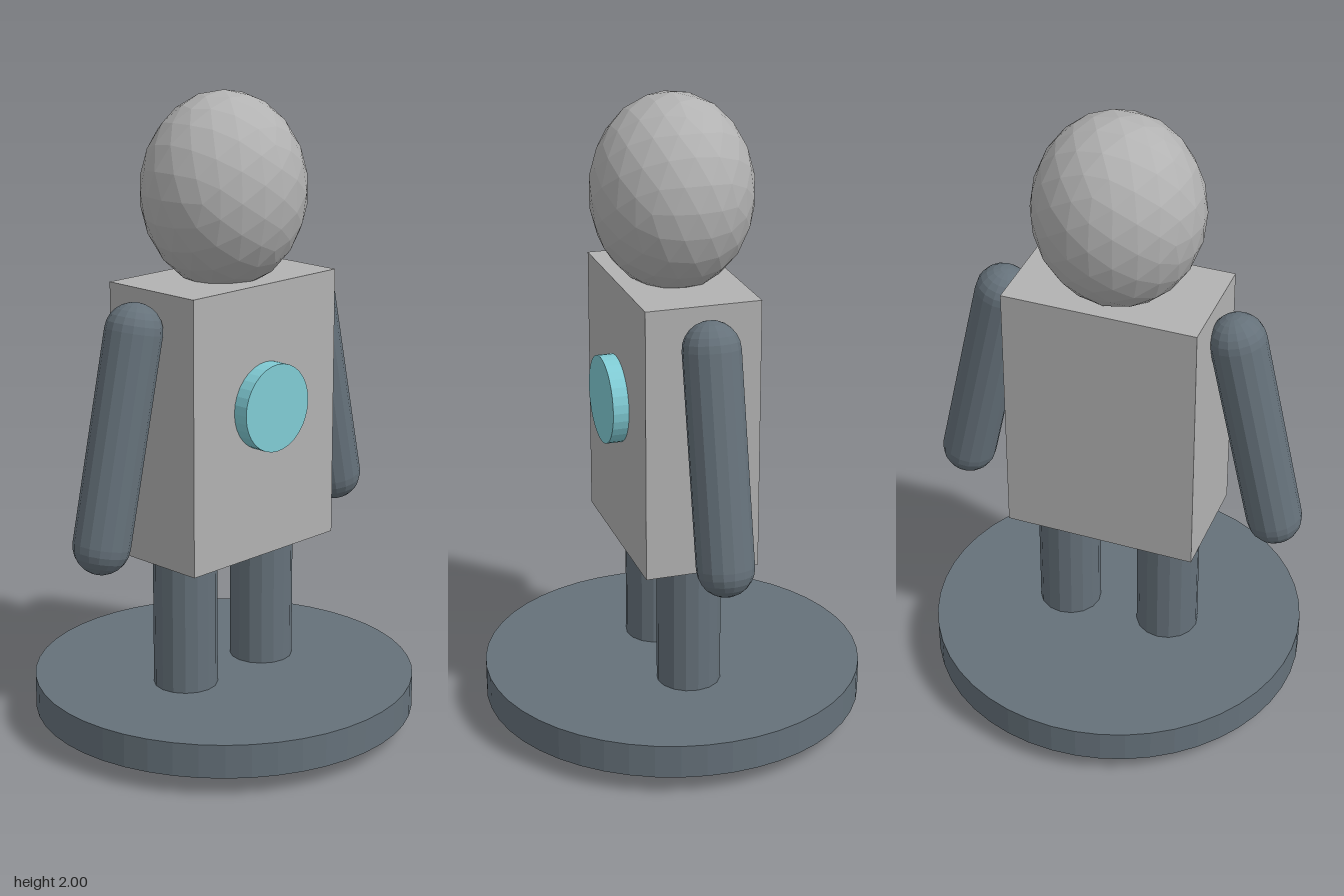
import * as THREE from 'three';

export function createModel() {
  const model = new THREE.Group();
  const mat = (color) => new THREE.MeshStandardMaterial({ color, flatShading: true });
  const lightGrey = mat(0xb2b2b2), slate = mat(0x65717a), cyan = mat(0x80cbd4);

  const add = (name, geometry, material, x, y, z) => {
    const mesh = new THREE.Mesh(geometry, material);
    mesh.name = name;
    mesh.position.set(x, y, z);
    model.add(mesh);
    return mesh;
  };

  // Round-ended limb running between the centres of its two end caps
  const limb = (name, radius, top, bottom) => {
    const axis = top.clone().sub(bottom);
    const mid = top.clone().add(bottom).multiplyScalar(0.5);
    const geometry = new THREE.CapsuleGeometry(radius, axis.length(), 6, 16);
    const mesh = add(name, geometry, slate, mid.x, mid.y, mid.z);
    mesh.quaternion.setFromUnitVectors(new THREE.Vector3(0, 1, 0), axis.normalize());
  };

  // Round base
  add('base', new THREE.CylinderGeometry(0.6, 0.6, 0.106, 48), slate, 0, 0.112, 0);

  // Body and head
  add('torso', new THREE.BoxGeometry(0.612, 0.85, 0.356), lightGrey, 0, 1.014, 0);
  const head = new THREE.IcosahedronGeometry(1, 3);
  head.scale(0.26, 0.3, 0.248);
  add('head', head, lightGrey, 0, 1.7, 0);

  // Chest disc
  const disc = new THREE.CylinderGeometry(0.136, 0.136, 0.05, 32);
  disc.rotateX(Math.PI / 2);
  add('chestDisc', disc, cyan, 0, 1.065, 0.202);

  // Mirrored arms and legs; the feet poke through the base
  for (const [side, s] of [['left', 1], ['right', -1]]) {
    limb(side + 'Arm', 0.087, new THREE.Vector3(s * 0.376, 1.328, 0), new THREE.Vector3(s * 0.515, 0.7, 0));
    limb(side + 'Leg', 0.1, new THREE.Vector3(s * 0.17, 0.62, 0), new THREE.Vector3(s * 0.17, 0.1, 0));
  }
  return model;
}
